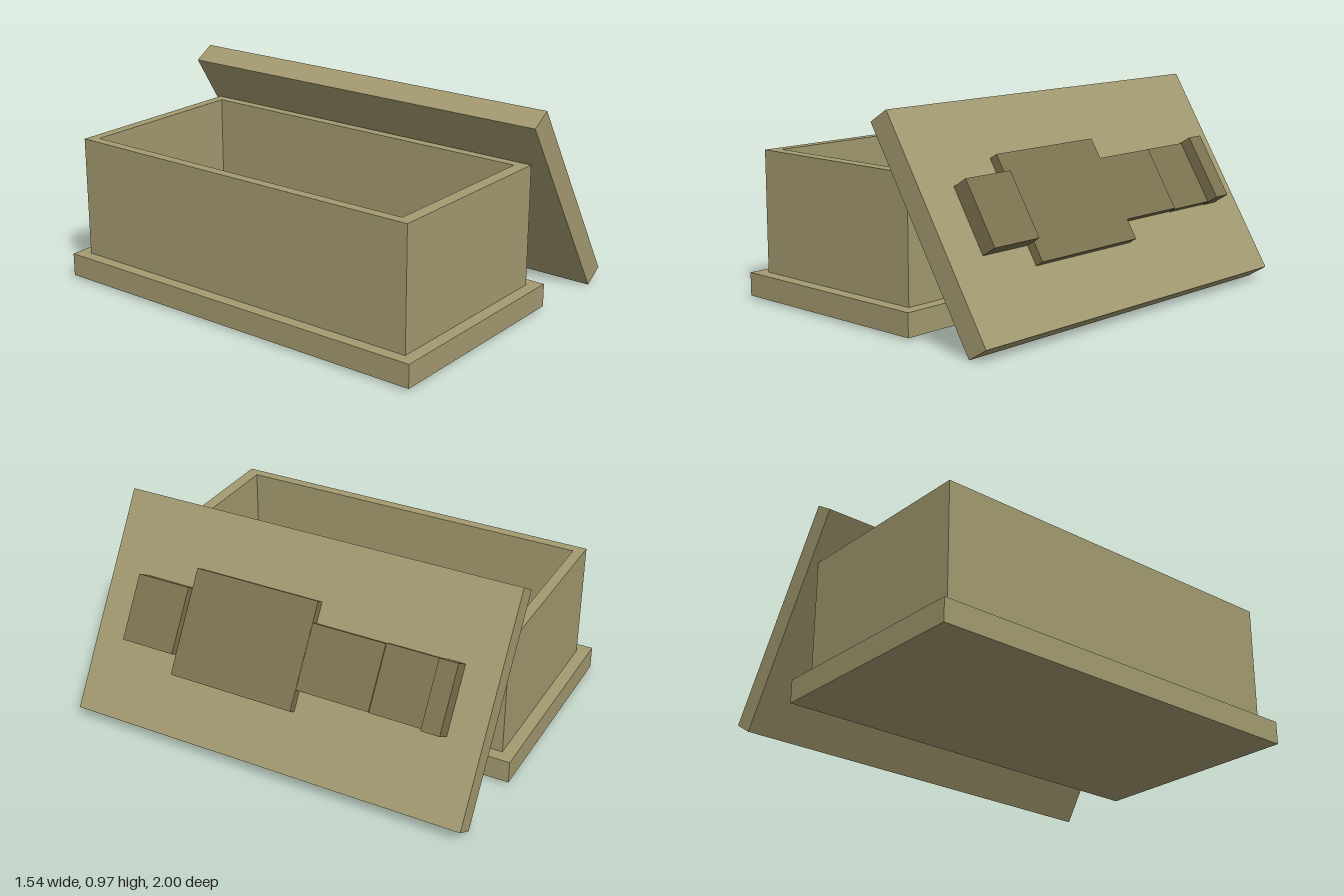
import * as THREE from 'three';

const stone = new THREE.MeshStandardMaterial({ color: 0xa39a70, flatShading: true });
const carving = new THREE.MeshStandardMaterial({ color: 0x7c7350, flatShading: true });

// Box given by its lower and upper corners
function block(name, [x0, y0, z0], [x1, y1, z1], material) {
  const geometry = new THREE.BoxGeometry(x1 - x0, y1 - y0, z1 - z0);
  geometry.translate((x0 + x1) / 2, (y0 + y1) / 2, (z0 + z1) / 2);
  const mesh = new THREE.Mesh(geometry, material);
  mesh.name = name;
  return mesh;
}

function rectangle(PathType, x0, x1, z0, z1) {
  // Shape y becomes -z once the extrusion is stood upright
  return new PathType([[x0, -z1], [x1, -z1], [x1, -z0], [x0, -z0]]
    .map(([x, y]) => new THREE.Vector2(x, y)));
}

export function createModel() {
  const model = new THREE.Group();
  model.name = 'stoneCoffin';

  // Plinth, whose top is the floor of the open chest
  model.add(block('plinth', [-0.77, 0.015, -1], [0.295, 0.125, 0.975], stone));

  // Four walls as one hollow extrusion
  const outline = rectangle(THREE.Shape, -0.712, 0.236, -0.94, 0.915);
  outline.holes.push(rectangle(THREE.Path, -0.664, 0.188, -0.89, 0.855));
  const wallGeometry = new THREE.ExtrudeGeometry(outline, { depth: 0.575, bevelEnabled: false });
  wallGeometry.rotateX(-Math.PI / 2).translate(0, 0.125, 0);
  const walls = new THREE.Mesh(wallGeometry, stone);
  walls.name = 'chestWalls';
  model.add(walls);

  // Lid leaning on the chest; its local +x is the carved outer face
  const lid = new THREE.Group();
  lid.name = 'lid';
  lid.position.set(0.44, 0.487, 0);
  lid.rotation.z = 0.5556;
  lid.add(block('lidSlab', [-0.056, -0.535, -0.975], [0.056, 0.535, 1], stone));

  // Raised lying figure: name, z range, width, height above the lid
  const figure = new THREE.Group();
  figure.name = 'carvedFigure';
  [
    ['head', 0.54, 0.81, 0.315, 0.08],
    ['torso', -0.09, 0.54, 0.505, 0.043],
    ['upperLegs', -0.45, -0.09, 0.308, 0.04],
    ['lowerLegs', -0.72, -0.45, 0.314, 0.033],
    ['feet', -0.81, -0.72, 0.32, 0.09],
  ].forEach(([name, z0, z1, width, height]) => {
    figure.add(block(name, [0.05, -width / 2, z0], [0.056 + height, width / 2, z1], carving));
  });
  lid.add(figure);
  model.add(lid);

  return model;
}
